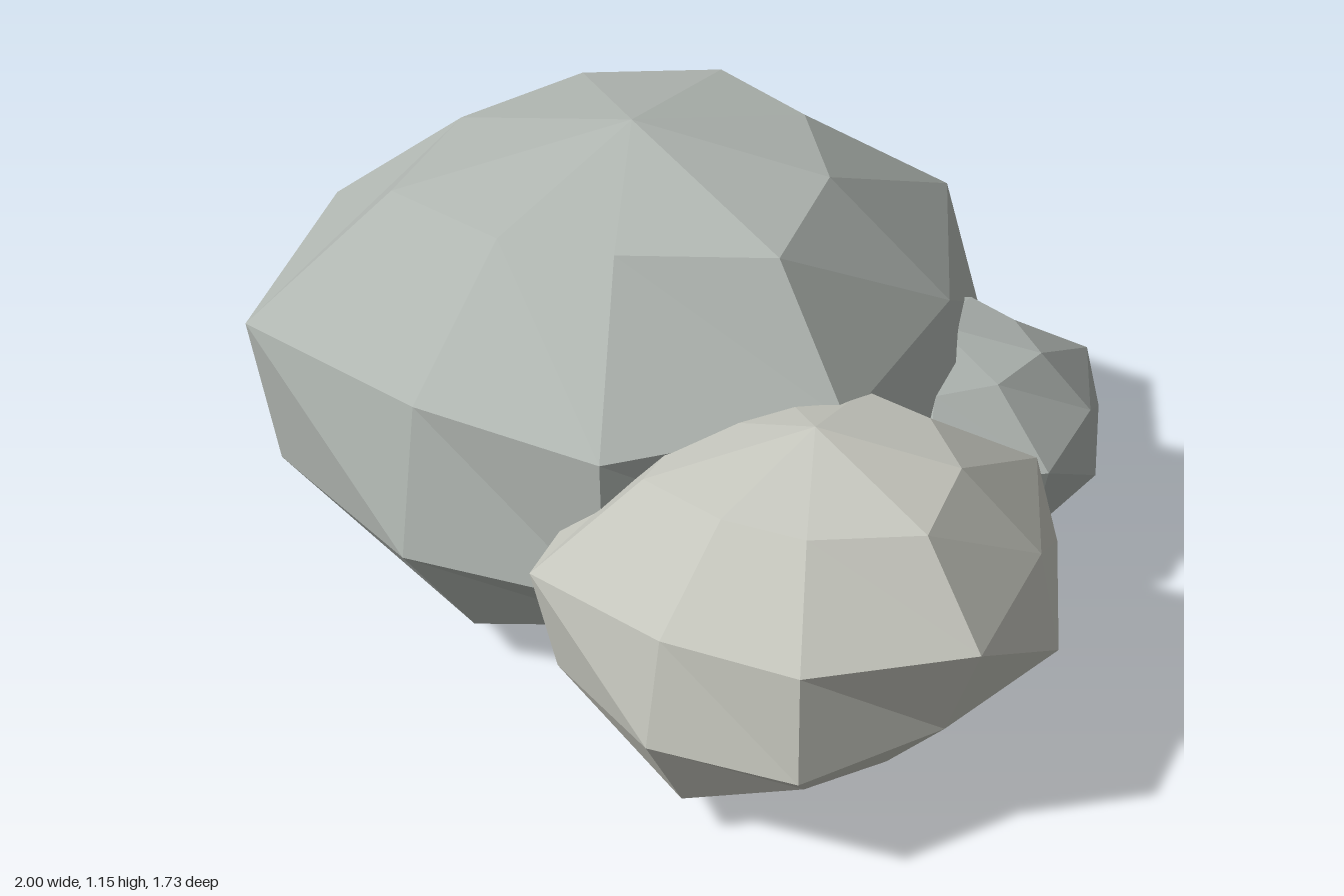
import * as THREE from 'three';

const SIDES = 9;      // corners per ring
const STRETCH = 1.13; // rocks are deeper than wide

// Faceted rock: two poles and four rings of uneven radius, on the latitudes of a sphere.
function rock(name, color, [cx, cy, cz], halfHeight, rings) {
  const point = (ring, side) => {
    const lat = (ring * Math.PI) / 5;
    const y = cy + halfHeight * Math.cos(lat);
    if (ring === 0 || ring === 5) return [cx, y, cz];
    const k = side % SIDES;
    const a = (k * 2 * Math.PI) / SIDES;
    const r = rings[ring - 1][k];
    return [cx + r * Math.cos(a), y, cz + STRETCH * r * Math.sin(a)];
  };
  const corners = [];
  for (let i = 0; i < 5; i++) {
    for (let j = 0; j < SIDES; j++) {
      const top = point(i, j), topNext = point(i, j + 1);
      const low = point(i + 1, j), lowNext = point(i + 1, j + 1);
      if (i > 0) corners.push(...top, ...topNext, ...low);
      if (i < 4) corners.push(...topNext, ...lowNext, ...low);
    }
  }
  const geometry = new THREE.BufferGeometry();
  geometry.setAttribute('position', new THREE.Float32BufferAttribute(corners, 3));
  geometry.computeVertexNormals();
  const mesh = new THREE.Mesh(geometry, new THREE.MeshStandardMaterial({ color, flatShading: true }));
  mesh.name = name;
  return mesh;
}

export function createModel() {
  const group = new THREE.Group();
  group.name = 'rockCluster';

  // Ring radii run from top to bottom, starting at +x and turning towards +z.
  group.add(rock('largeRock', 0xb2b8b3, [-0.27, 0.575, 0.11], 0.575, [
    [0.49, 0.35, 0.36, 0.47, 0.425, 0.42, 0.42, 0.38, 0.40],
    [0.705, 0.67, 0.59, 0.77, 0.77, 0.585, 0.66, 0.72, 0.65],
    [0.62, 0.66, 0.64, 0.725, 0.78, 0.61, 0.67, 0.81, 0.69],
    [0.45, 0.38, 0.47, 0.40, 0.415, 0.42, 0.38, 0.42, 0.42],
  ]));

  group.add(rock('mediumRock', 0xc6c7be, [0.49, 0.43, 0.24], 0.395, [
    [0.34, 0.265, 0.25, 0.32, 0.27, 0.25, 0.24, 0.245, 0.28],
    [0.505, 0.44, 0.41, 0.535, 0.49, 0.38, 0.43, 0.49, 0.44],
    [0.41, 0.465, 0.45, 0.49, 0.47, 0.40, 0.46, 0.55, 0.485],
    [0.24, 0.26, 0.36, 0.28, 0.27, 0.26, 0.27, 0.28, 0.28],
  ]));

  group.add(rock('smallRock', 0xacb2ae, [0.14, 0.34, -0.41], 0.285, [
    [0.20, 0.19, 0.18, 0.22, 0.20, 0.20, 0.20, 0.185, 0.22],
    [0.37, 0.32, 0.30, 0.37, 0.36, 0.30, 0.31, 0.37, 0.33],
    [0.33, 0.32, 0.32, 0.36, 0.36, 0.30, 0.33, 0.41, 0.35],
    [0.20, 0.19, 0.24, 0.19, 0.20, 0.20, 0.20, 0.23, 0.21],
  ]));

  return group;
}
